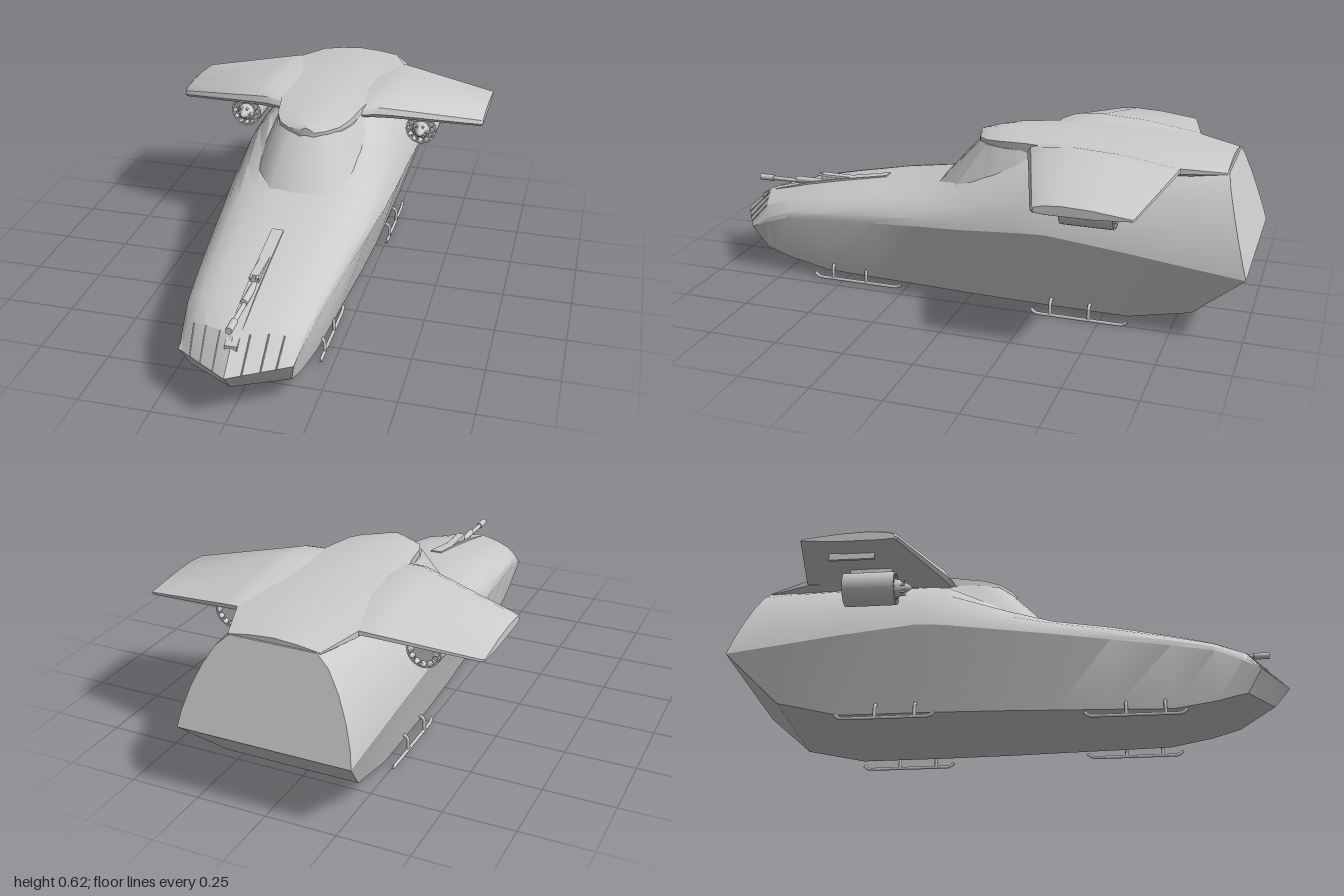
import * as THREE from 'three';
import { toCreasedNormals, mergeGeometries } from 'three/addons/utils/BufferGeometryUtils.js';

const mat = new THREE.MeshStandardMaterial({ color: 0xcccccc });
const V = (x, y, z) => new THREE.Vector3(x, y, z);
const mesh = (geo, name, parent) => {
  const m = new THREE.Mesh(geo, mat);
  m.name = name;
  parent.add(m);
  return m;
};

// Skin closed rings of points, capping both ends; rings run counterclockwise seen from the start
function loft(rings, crease = 0.5) {
  const pos = [];
  const tri = (a, b, c) => {
    const area = b.clone().sub(a).cross(c.clone().sub(a)).length();
    if (area > 1e-7) for (const p of [a, b, c]) pos.push(p.x, p.y, p.z);
  };
  const n = rings[0].length;
  for (let i = 0; i < rings.length - 1; i++) {
    for (let j = 0; j < n; j++) {
      const k = (j + 1) % n;
      const a = rings[i][j], b = rings[i][k], c = rings[i + 1][k], d = rings[i + 1][j];
      tri(a, d, c);
      tri(a, c, b);
    }
  }
  const first = rings[0], last = rings[rings.length - 1];
  for (let j = 1; j < n - 1; j++) {
    tri(first[0], first[j], first[j + 1]);
    tri(last[0], last[j + 1], last[j]);
  }
  const geo = new THREE.BufferGeometry();
  geo.setAttribute('position', new THREE.Float32BufferAttribute(pos, 3));
  return toCreasedNormals(geo, crease);
}

// Complete a half ring (bottom centre to top centre) with its mirror
const mirrorRing = half => [...half, ...half.slice(1, -1).reverse().map(p => V(-p.x, p.y, p.z))];

const tube = (pts, r, seg = 16) =>
  new THREE.TubeGeometry(new THREE.CatmullRomCurve3(pts, false, 'catmullrom', 0.2), seg, r, 8);

// Upper cross-sections as fractions of half width and height: rounded deck and flat-topped cabin
const DECK = [[1, 0], [.98, .25], [.9, .52], [.75, .78], [.52, .93], [.25, .99], [0, 1]];
const CABIN = [[1, 0], [.97, .17], [.89, .42], [.78, .66], [.64, .88], [.5, 1], [0, 1]];

function hullRing(z, w, yc, yt, bw, yb, t, zAt = () => z) {
  const upper = DECK.map(([fx, fy], i) => {
    const x = w * THREE.MathUtils.lerp(fx, CABIN[i][0], t);
    const y = yc + (yt - yc) * THREE.MathUtils.lerp(fy, CABIN[i][1], t);
    return V(x, y, zAt(x, y));
  });
  return [V(0, yb, z), V(bw, yb, z), ...upper];
}

function buildHull(g) {
  // Pointed nose: lip, chin and sloping panel
  const lip = hullRing(1, .19, .17, .17, .19, .17, 0, x => 1 - .63 * x);
  lip[1] = V(.19, .17, .88);
  const chin = [V(0, .10, .94), V(.17, .085, .83), ...lip.slice(2)];
  const panel = hullRing(.86, .2, .2, .262, .175, .075, 0, x => .895 - .4 * x);
  panel[0] = V(0, .085, .87);
  panel[1] = V(.176, .075, .79);
  const rings = [lip, chin, panel,
    // z, chine width, chine y, top y, bottom width, bottom y, cabin blend
    hullRing(.72, .217, .232, .303, .18, .056, 0),
    hullRing(.57, .235, .25, .335, .187, .03, 0),
    hullRing(.36, .258, .27, .375, .2, .03, 0),
    hullRing(.16, .28, .29, .4, .21, .03, .1),
    hullRing(0, .298, .303, .455, .22, .03, .5),
    hullRing(-.22, .315, .325, .56, .228, .03, 1),
    hullRing(-.32, .318, .33, .565, .23, .03, 1),
    hullRing(-.6, .315, .3, .57, .232, .03, 1),
    hullRing(-.82, .31, .272, .57, .24, .08, 1),
    hullRing(-1, .306, .25, .565, .306, .25, 1, (x, y) => -1 + (y - .25) * .3)];
  mesh(loft(rings.map(mirrorRing), .45), 'hull', g);

  // Seams that divide the nose panel
  const seams = [];
  for (const s of [-1, 1]) for (const j of [5, 6, 7]) {
    const a = chin[j].clone(), b = panel[j].clone();
    a.x *= s; b.x *= s;
    seams.push(new THREE.TubeGeometry(new THREE.LineCurve3(a, b), 1, .0025, 5));
  }
  mesh(mergeGeometries(seams), 'noseSeams', g);
}

// Sloping cabin windscreen, wrapped round from side to side
function buildCanopy(g) {
  const base = [[.23, .45, -.25], [.207, .41, -.06], [.175, .4, .07], [.1, .396, .152], [0, .394, .165]];
  const top = [[.155, .57, -.25], [.148, .57, -.12], [.122, .57, -.045], [.065, .57, -.005], [0, .57, .005]];
  const ring = (pts, y) => {
    const half = pts.map(p => V(...p)).reverse();
    return [...half, ...half.slice(1).reverse().map(p => V(-p.x, p.y, p.z))];
  };
  mesh(loft([ring(top), ring(base)].map(r => r.reverse()).reverse(), .6), 'canopy', g).material = canopyMat;
}
const canopyMat = mat.clone();
canopyMat.side = THREE.DoubleSide;

// Roof slab: z, half width, centre top, underside
function buildRoof(g) {
  const stations = [
    [.012, .03, .592, .558], [-.004, .07, .597, .556], [-.04, .112, .603, .555], [-.1, .138, .61, .555],
    [-.2, .155, .616, .555], [-.36, .19, .62, .555], [-.55, .205, .615, .555], [-.75, .215, .6, .55],
    [-.9, .16, .583, .548]];
  const rings = stations.map(([z, w, yt, yb]) => mirrorRing([
    V(0, yb, z), V(w * .9, yb, z), V(w, yb + .012, z), V(w, yt - .018, z), V(w * .5, yt - .006, z), V(0, yt, z)]));
  mesh(loft(rings, .5), 'roof', g);
}

function buildWing(g) {
  // Section as fraction from leading to trailing edge and height between underside and top
  const section = [[0, .3], [.02, .62], [.1, .86], [.3, 1], [.6, .88], [1, .45], [1, .25], [.6, 0], [.15, 0], [.02, .08]];
  // x, leading z, trailing z, underside, top
  const rings = [[.1, -.18, -.77, .555, .602], [.15, -.205, -.765, .555, .608], [.22, -.225, -.75, .55, .622],
    [.27, -.242, -.741, .546, .612], [.59, -.342, -.678, .511, .553], [.597, -.352, -.672, .514, .547]]
    .map(([x, z0, z1, y0, y1]) => section.map(([u, v]) =>
      V(x, y0 + (y1 - y0) * v, z0 + (z1 - z0) * u)));
  mesh(loft(rings, .6), 'wing', g);
  mesh(new THREE.BoxGeometry(.01, .035, .16), 'wingRail', g).position.set(.497, .516, -.52);
}

// Drum under the wing with a ring of tubes on each face
function buildPod(g) {
  const pod = new THREE.Group();
  pod.name = 'pod';
  pod.position.set(.355, .458, -.48);
  g.add(pod);
  const shell = new THREE.LatheGeometry(
    [[.054, -.092], [.06, -.092], [.06, .092], [.054, .092], [.054, -.092]].map(p => new THREE.Vector2(...p)), 32);
  mesh(toCreasedNormals(shell.rotateX(Math.PI / 2), .5), 'podShell', pod);
  const face = new THREE.Shape().absarc(0, 0, .057, 0, Math.PI * 2);
  for (let i = 0; i < 12; i++) {
    const a = i * Math.PI / 6;
    face.holes.push(new THREE.Path().absarc(.045 * Math.cos(a), .045 * Math.sin(a), .0095, 0, Math.PI * 2, true));
  }
  for (const z of [.08, -.09]) {
    const plate = new THREE.ExtrudeGeometry(face, { depth: .01, bevelEnabled: false, curveSegments: 12 });
    mesh(plate, 'podFace', pod).position.z = z;
  }
  mesh(new THREE.CylinderGeometry(.054, .054, .1, 24).rotateX(Math.PI / 2), 'podCore', pod);
  const hub = [[.033, .09], [.03, .105], [.018, .118], [.016, .13], [.008, .142], [0, .15]];
  mesh(new THREE.LatheGeometry(hub.map(p => new THREE.Vector2(...p)).reverse(), 16).rotateX(Math.PI / 2), 'podHub', pod)
    .material = canopyMat;
  for (let i = 0; i < 6; i++) {
    const a = i * Math.PI / 3;
    const tip = mesh(new THREE.CylinderGeometry(.004, .006, .04, 8).rotateX(Math.PI / 2), 'podTip', pod);
    tip.position.set(.024 * Math.cos(a), .024 * Math.sin(a), .105);
  }
  mesh(new THREE.BoxGeometry(.014, .035, .15), 'pylon', pod).position.y = .075;
}

// Runner with upturned ends and two bent legs
function buildSkid(g, x, z0, z1, legs, name) {
  const skid = new THREE.Group();
  skid.name = name;
  g.add(skid);
  mesh(tube([V(x, .021, z0), V(x, .009, z0 - .015), V(x, .006, z0 - .035), V(x, .006, z1 + .035),
    V(x, .009, z1 + .015), V(x, .021, z1)], .006, 40), 'runner', skid);
  for (const z of legs)
    mesh(tube([V(x - .04, .06, z), V(x - .015, .06, z), V(x - .003, .052, z), V(x, .04, z), V(x, .006, z)], .006),
      'leg', skid);
}

function buildGun(g) {
  const gun = new THREE.Group();
  gun.name = 'gun';
  g.add(gun);
  // Strip along the deck
  const strip = [[.925, .242], [.86, .27], [.72, .31], [.57, .342], [.39, .374]].map(([z, y]) =>
    mirrorRing([V(0, y - .03, z), V(.021, y - .03, z), V(.021, y, z), V(0, y, z)]));
  mesh(loft(strip), 'gunTrack', gun);
  mesh(new THREE.BoxGeometry(.03, .03, .14), 'receiver', gun).position.set(0, .333, .595);
  const rod = (r, z0, z1, y, x = 0) => mesh(
    new THREE.CylinderGeometry(r, r, z1 - z0, 14).rotateX(Math.PI / 2), 'barrel', gun).position.set(x, y, (z0 + z1) / 2);
  rod(.008, .55, .93, .305);
  rod(.012, .88, .937, .305);
  rod(.012, .6, .78, .312);
  for (const x of [-.011, .011]) rod(.005, .52, .68, .343, x);
}

export function createModel() {
  const model = new THREE.Group();
  model.name = 'gunship';
  buildHull(model);
  buildCanopy(model);
  buildRoof(model);
  buildGun(model);
  for (const s of [1, -1]) {
    const side = new THREE.Group();
    side.name = s > 0 ? 'leftSide' : 'rightSide';
    side.scale.x = s;
    model.add(side);
    buildWing(side);
    buildPod(side);
    buildSkid(side, .205, .615, .26, [.54, .405], 'frontSkid');
    buildSkid(side, .257, -.255, -.605, [-.325, -.465], 'rearSkid');
  }
  return model;
}
